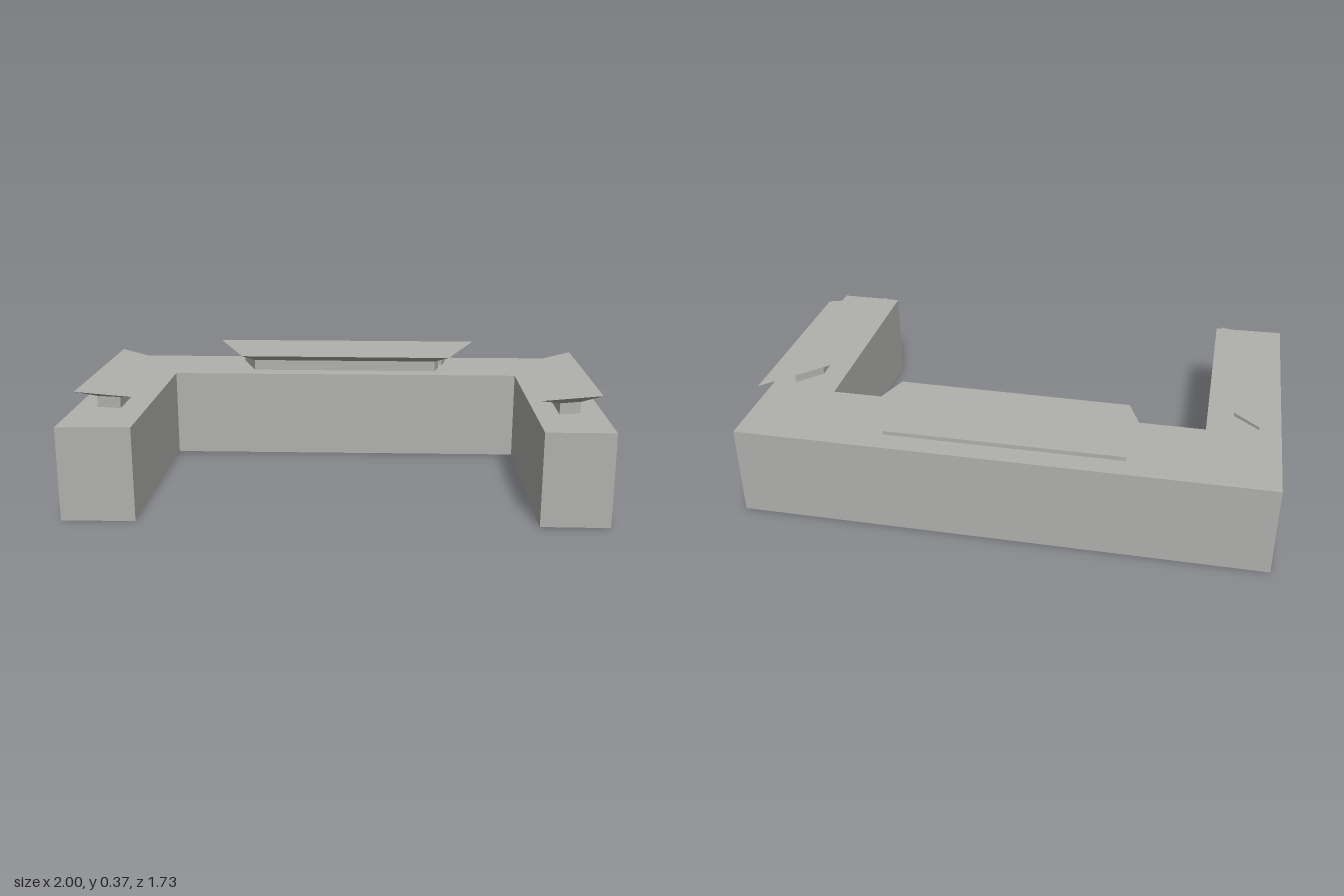
import * as THREE from 'three';

const ROOF = 0.303, EAVE = 0.34, TOP = 0.368;

// Outlines are [x, z] corners, clockwise as seen from above
const footprint = [[-0.503, -0.863], [1, -0.038], [0.492, 0.863], [0.303, 0.757],
  [0.655, 0.115], [-0.44, -0.485], [-0.793, 0.148], [-1, 0.04]];

const lanterns = [
  { name: 'rightWing',
    cap: [[-0.577, -0.692], [-0.49, -0.428], [-0.75, 0.035], [-0.9, -0.115]],
    base: [[-0.6, -0.54], [-0.564, -0.438], [-0.757, -0.09], [-0.82, -0.14]] },
  { name: 'rearWing',
    cap: [[-0.183, -0.69], [0.685, -0.213], [0.44, 0], [-0.222, -0.37]],
    base: [[-0.13, -0.575], [0.55, -0.2], [0.43, -0.08], [-0.158, -0.407]],
    notch: [[0.51, -0.16], [0.422, -0.208], [0.382, -0.168], [0.47, -0.12]] },
  { name: 'leftWing',
    cap: [[0.627, 0.192], [0.9, 0.115], [0.578, 0.69], [0.365, 0.652]],
    base: [[0.67, 0.25], [0.77, 0.22], [0.54, 0.63], [0.468, 0.615]] },
];

// Flat horizontal face with optional openings
function slab(ring, y, holes = []) {
  const pts = (r) => r.map(([x, z]) => new THREE.Vector2(x, -z));
  const shape = new THREE.Shape(pts(ring));
  holes.forEach((h) => shape.holes.push(new THREE.Path(pts(h))));
  return new THREE.ShapeGeometry(shape).rotateX(-Math.PI / 2).translate(0, y, 0);
}

// Band of flat walls between a lower and an upper outline
function band(lower, y0, upper, y1) {
  const pos = [];
  lower.forEach((p, i) => {
    const j = (i + 1) % lower.length;
    const bi = [p[0], y0, p[1]], bj = [lower[j][0], y0, lower[j][1]];
    const ti = [upper[i][0], y1, upper[i][1]], tj = [upper[j][0], y1, upper[j][1]];
    pos.push(...bj, ...bi, ...ti, ...bj, ...ti, ...tj);
  });
  const geo = new THREE.BufferGeometry();
  geo.setAttribute('position', new THREE.Float32BufferAttribute(pos, 3));
  geo.computeVertexNormals();
  return geo;
}

export function createModel() {
  const model = new THREE.Group();
  model.name = 'courtyardBuilding';
  const grey = new THREE.MeshStandardMaterial({ color: 0xb0b0ad, side: THREE.DoubleSide });
  grey.name = 'concrete grey';
  const add = (parent, name, geo) => {
    const mesh = new THREE.Mesh(geo, grey);
    mesh.name = name;
    parent.add(mesh);
  };

  // Lantern outlines, with the notch cut into the end where there is one
  const bodies = lanterns.map(({ base, notch = [] }) =>
    [...base.slice(0, 2), ...notch, ...base.slice(2)]);

  // U-shaped block, open underneath
  add(model, 'outerWalls', band(footprint, 0, footprint, ROOF));
  add(model, 'roof', slab(footprint, ROOF, bodies));

  // Roof lanterns: low walls below a flared flat cap
  lanterns.forEach(({ name, cap, base }, i) => {
    const lantern = new THREE.Group();
    lantern.name = name + 'Lantern';
    add(lantern, 'lanternWalls', band(bodies[i], ROOF, bodies[i], EAVE));
    add(lantern, 'capSoffit', slab(base, EAVE).scale(1, 1, 1));
    add(lantern, 'capFlare', band(base, EAVE, cap, TOP));
    add(lantern, 'capTop', slab(cap, TOP));
    model.add(lantern);
  });
  return model;
}
